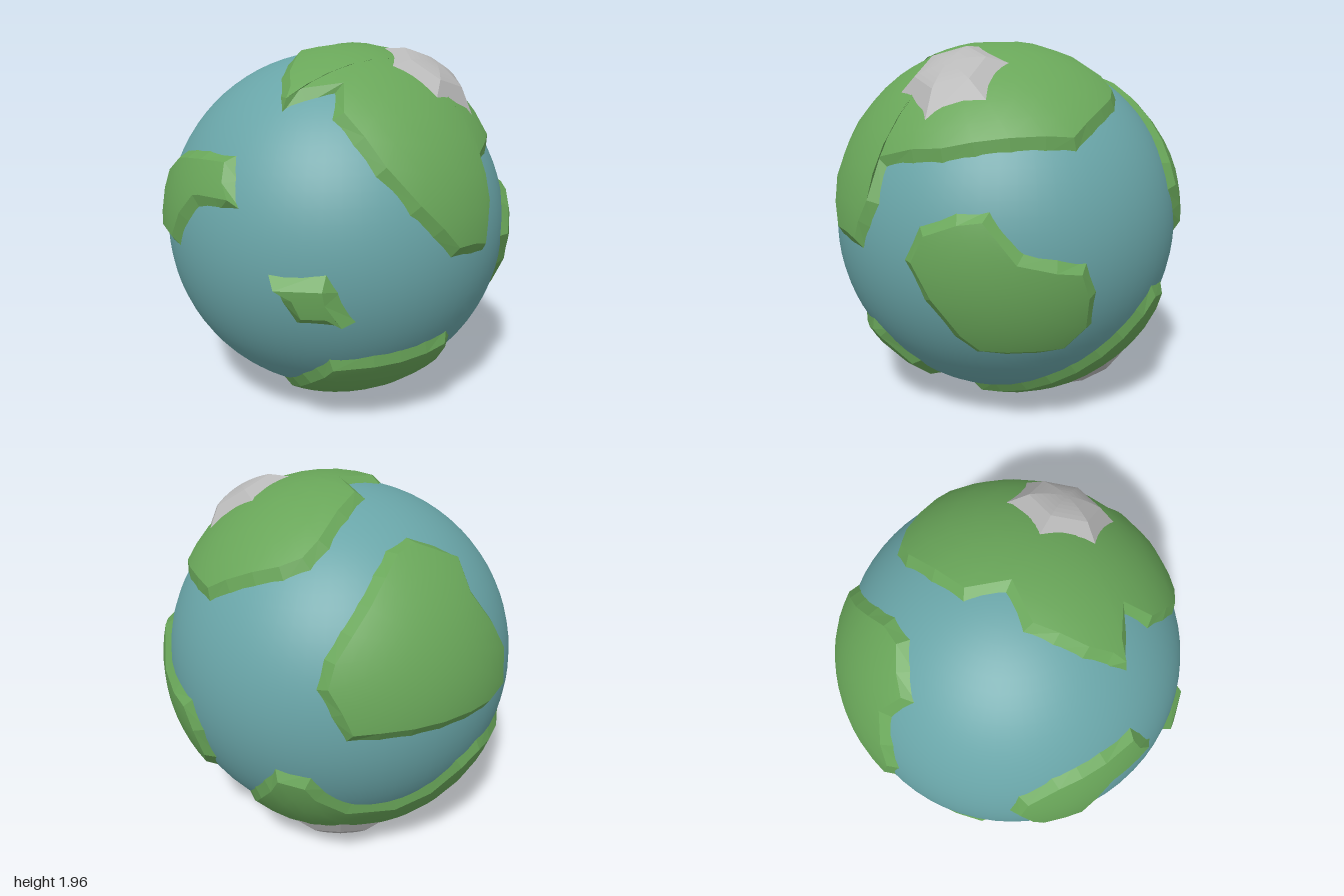
import * as THREE from 'three';

const R = 0.94; // ocean radius
const CENTRE = new THREE.Vector3(-0.02, 1, -0.03);
const material = (name, color) => {
  const m = new THREE.MeshStandardMaterial({ color });
  m.name = name;
  return m;
};

// Outline points drawn on a flat disc facing (azimuth, elevation), projected on the unit sphere
function on(az, el, points) {
  const a = THREE.MathUtils.degToRad(az), e = THREE.MathUtils.degToRad(el);
  const right = new THREE.Vector3(Math.cos(a), 0, -Math.sin(a));
  const out = new THREE.Vector3(Math.sin(a) * Math.cos(e), Math.sin(e), Math.cos(a) * Math.cos(e));
  const up = out.clone().cross(right);
  return points.map(([u, v]) => new THREE.Vector3()
    .addScaledVector(right, u).addScaledVector(up, v)
    .addScaledVector(out, Math.sqrt(Math.max(0, 1 - u * u - v * v))).normalize());
}
const front = (...p) => on(0, 0, p);
const side = (...p) => on(90, 0, p);
const top = (...p) => on(0, 90, p);
const backLeft = (...p) => on(215, 24, p);
const backBelow = (...p) => on(145, -25, p);

// Split long outline edges so that they follow the sphere
function subdivide(outline, step) {
  return outline.flatMap((p, i) => {
    const q = outline[(i + 1) % outline.length];
    const n = Math.max(1, Math.round(p.distanceTo(q) / step));
    return Array.from({ length: n }, (_, k) => p.clone().lerp(q, k / n).normalize());
  });
}

// Join successive rings of points with triangles
function loft(rings) {
  const n = rings[0].length, index = [];
  for (let r = 0; r < rings.length - 1; r++) {
    for (let i = 0; i < n; i++) {
      const a = r * n + i, b = r * n + (i + 1) % n;
      index.push(a, b, b + n);
      if (r < rings.length - 2 || rings.length === 2) index.push(a, b + n, a + n);
    }
  }
  const g = new THREE.BufferGeometry().setFromPoints(rings.flat());
  g.setIndex(index);
  return g;
}

// Raised patch: a faceted bevel rising from the rim, and a gently domed plateau
function patch(name, mat, outline, { rim = 0.99, edge = 1.037, peak = 1.058, inset = 0.075, centre, step = 0.18, flat = false } = {}) {
  const base = subdivide(outline, step), n = base.length;
  const shore = base.map((p, i) => {
    const along = base[(i + 1) % n].clone().sub(base[(i + n - 1) % n]);
    return p.clone().addScaledVector(p.clone().cross(along).normalize(), inset).normalize();
  });
  const middle = centre || base.reduce((s, p) => s.add(p), new THREE.Vector3());
  middle.normalize();
  const at = (p, r) => p.clone().multiplyScalar(r * R);

  const bevel = loft([base.map(p => at(p, rim)), shore.map(p => at(p, edge))]).toNonIndexed();
  bevel.computeVertexNormals();

  const rings = [];
  for (let k = 0; k <= 6; k++) {
    const t = k / 6;
    const height = edge + (peak - edge) * (1 - (1 - t) ** 2);
    rings.push(shore.map(p => at(p.clone().lerp(middle, t).normalize(), height)));
  }
  let plateau = loft(rings);
  if (flat) plateau = plateau.toNonIndexed();
  else {
    // radial normals keep the plateau smooth
    const pos = plateau.attributes.position, v = new THREE.Vector3(), normals = [];
    for (let i = 0; i < pos.count; i++) normals.push(...v.fromBufferAttribute(pos, i).normalize().toArray());
    plateau.setAttribute('normal', new THREE.Float32BufferAttribute(normals, 3));
  }
  if (flat) plateau.computeVertexNormals();

  const group = new THREE.Group();
  group.name = name;
  const a = new THREE.Mesh(bevel, mat), b = new THREE.Mesh(plateau, mat);
  a.name = name + 'Slope';
  b.name = name + 'Plateau';
  group.add(a, b);
  return group;
}

export function createModel() {
  const water = material('oceanBlue', 0x69a5a8);
  const grass = material('landGreen', 0x69a659);
  const stone = material('mountainGrey', 0xb8b8b8);

  const model = new THREE.Group();
  model.name = 'planet';
  const globe = new THREE.Group();
  globe.name = 'globe';
  globe.position.copy(CENTRE);
  model.add(globe);

  const ocean = new THREE.Mesh(new THREE.SphereGeometry(R, 64, 40), water);
  ocean.name = 'ocean';
  globe.add(ocean);

  // Large continent over the top, with a lobe down one side
  globe.add(patch('northContinent', grass, [
    ...top([-0.12, 0.57], [-0.2, 0.16], [-0.07, 0], [-0.2, -0.16], [-0.15, -0.47], [-0.04, -0.69], [0.19, -0.55]),
    ...front([0.22, 0.7], [0.48, 0.44], [0.65, 0.25], [0.83, 0]),
    ...side([-0.3, -0.02], [-0.18, 0.24], [-0.18, 0.42], [0.15, 0.46], [0.7, 0.51]),
    ...top([0.08, 0.73], [-0.05, 0.68]),
  ], { centre: new THREE.Vector3(0.42, 0.9, 0.05), peak: 1.065 }));

  // Rounded continent at the back
  globe.add(patch('backContinent', grass, backLeft(
    [0.17, 0.56], [0.02, 0.5], [-0.19, 0.26], [-0.39, 0.02], [-0.44, -0.13], [-0.31, -0.42],
    [0.02, -0.45], [0.51, -0.4], [0.67, -0.3], [0.69, -0.06], [0.49, 0.24], [0.47, 0.43])));

  // Bent land on the front
  globe.add(patch('frontLand', grass, front(
    [-0.22, 0.53], [-0.42, 0.53], [-0.65, 0.49], [-0.8, 0.38], [-0.87, 0.22], [-0.85, 0.07],
    [-0.8, -0.02], [-0.6, -0.02], [-0.51, 0.14], [-0.43, 0.23], [-0.15, 0.27]),
  { peak: 1.04, centre: front([-0.62, 0.28])[0] }));

  // Small pointed island
  globe.add(patch('island', grass, front(
    [0.31, 0], [0.01, -0.02], [0.07, -0.17], [0.14, -0.3], [0.34, -0.31], [0.44, -0.28], [0.37, -0.11]),
  { edge: 1.055, peak: 1.065, step: 0.3, inset: 0.085 }));

  // Low land on the front
  globe.add(patch('southFrontLand', grass, [
    ...front([0.8, -0.45], [0.48, -0.51], [0.26, -0.53], [0.06, -0.69], [-0.14, -0.84], [-0.17, -0.9]),
    ...side([-0.25, -0.93], [-0.13, -0.86], [-0.13, -0.7], [-0.3, -0.52]),
  ], { peak: 1.045 }));

  // Oval land on the side
  globe.add(patch('sideLand', grass, side(
    [0.42, 0.27], [0.26, 0.26], [0.07, 0.18], [-0.02, -0.01], [0.08, -0.22], [0.2, -0.42],
    [0.29, -0.52], [0.67, -0.52], [0.8, -0.37], [0.84, -0.17], [0.81, 0], [0.58, 0.07]),
  { peak: 1.045 }));

  // Crescent continent under the globe
  globe.add(patch('southContinent', grass, [
    ...backBelow([0.49, 0.14], [0.27, -0.08], [-0.07, -0.4], [-0.35, -0.69], [-0.28, -0.82], [0.05, -0.95], [0.36, -0.93]),
    ...front([-0.635, -0.758], [-0.7, -0.6], [-0.79, -0.48], [-0.9, -0.28]),
    ...backLeft([0.75, -0.49], [0.51, -0.57], [0.36, -0.66], [0.19, -0.78], [0.02, -0.83],
      [-0.22, -0.8], [-0.37, -0.69], [-0.45, -0.59]),
  ], { centre: new THREE.Vector3(-0.25, -0.85, -0.45), peak: 1.065 }));

  // Six-sided mountains
  const hexagon = r => Array.from({ length: 6 }, (_, i) => {
    const t = Math.PI / 2 + i * Math.PI / 3;
    return [r * Math.cos(t), r * Math.sin(t)];
  });
  const hill = { rim: 1.045, edge: 1.105, peak: 1.12, inset: 0.15, step: 1, flat: true };
  globe.add(patch('northMountain', stone, on(90, 58, hexagon(0.32)), hill));
  globe.add(patch('southMountain', stone, on(196, -57, hexagon(0.3)), { ...hill, edge: 1.09, peak: 1.1 }));

  return model;
}
